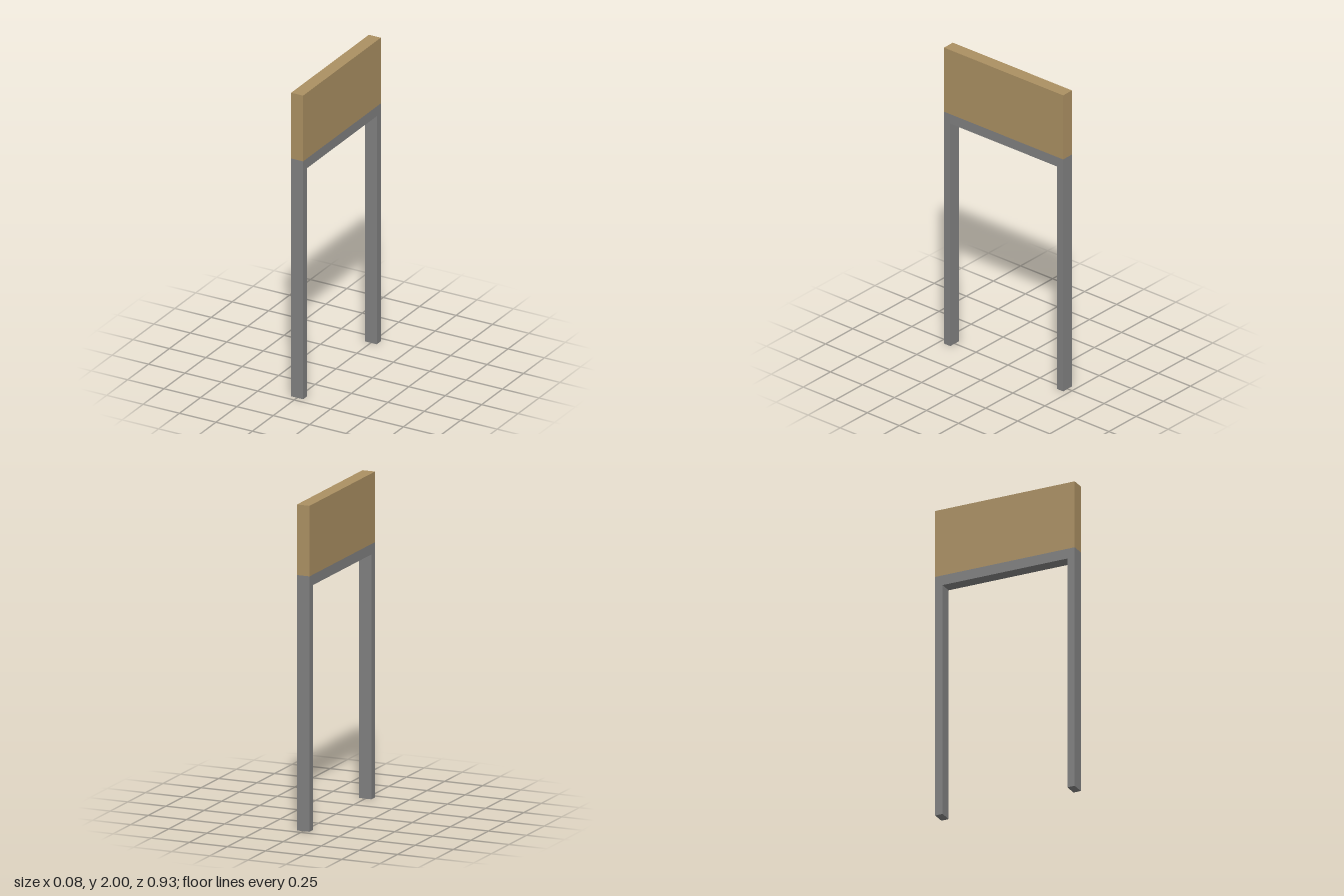
import * as THREE from 'three';

const DEPTH = 0.082;  // thickness along x
const HALF = 0.465;   // half span along z
const INNER = 0.416;  // inner face of the legs
const BAR_BOTTOM = 1.503, BAR_TOP = 1.567, TOP = 2;

export function createModel() {
  const group = new THREE.Group();
  const metal = new THREE.MeshStandardMaterial({ name: 'grey metal', color: 0x808080 });
  const wood = new THREE.MeshStandardMaterial({ name: 'tan wood', color: 0xab9062 });

  // Two legs joined by a crossbar, as one upside-down U
  const outline = new THREE.Shape([
    [-HALF, 0], [-INNER, 0], [-INNER, BAR_BOTTOM], [INNER, BAR_BOTTOM],
    [INNER, 0], [HALF, 0], [HALF, BAR_TOP], [-HALF, BAR_TOP],
  ].map(([z, y]) => new THREE.Vector2(z, y)));
  const frameGeometry = new THREE.ExtrudeGeometry(outline, { depth: DEPTH, bevelEnabled: false });
  frameGeometry.translate(0, 0, -DEPTH / 2).rotateY(Math.PI / 2);
  const frame = new THREE.Mesh(frameGeometry, metal);
  frame.name = 'legFrame';

  // Solid board resting on the crossbar
  const board = new THREE.Mesh(new THREE.BoxGeometry(DEPTH, TOP - BAR_TOP, HALF * 2), wood);
  board.position.y = (TOP + BAR_TOP) / 2;
  board.name = 'board';

  group.add(frame, board);
  return group;
}
